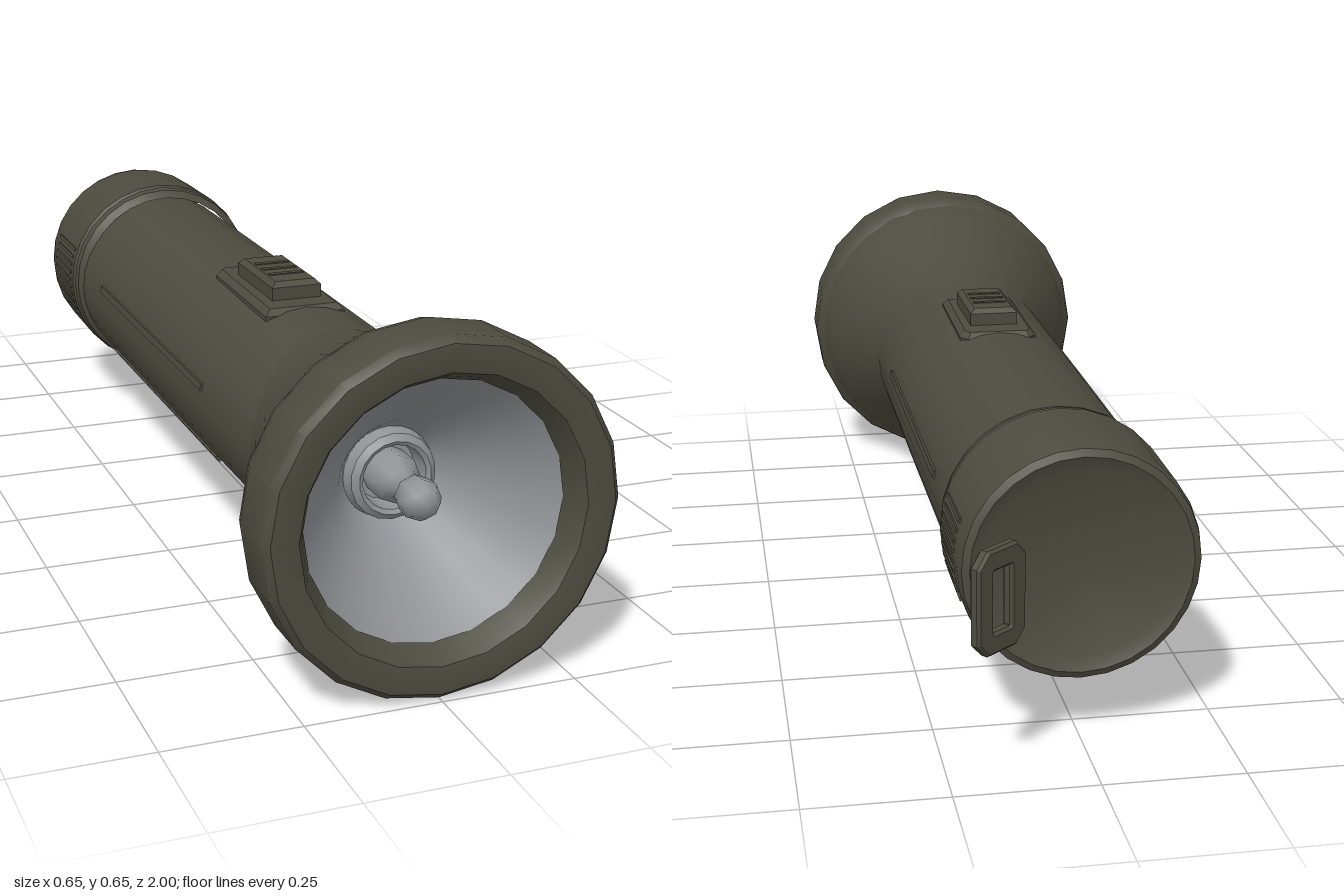
import * as THREE from 'three';
import { toCreasedNormals } from 'three/addons/utils/BufferGeometryUtils.js';

const AXIS_Y = 0.32;

export function createModel() {
  const model = new THREE.Group();
  model.name = 'flashlight';
  const olive = new THREE.MeshStandardMaterial({ color: 0x4c4b3f });
  olive.name = 'olive plastic';
  const silver = new THREE.MeshStandardMaterial({ color: 0x8f9296 });
  silver.name = 'silver reflector';

  const add = (name, geometry, material, parent = model) => {
    const mesh = new THREE.Mesh(geometry, material);
    mesh.name = name;
    parent.add(mesh);
    return mesh;
  };
  // Turned part along z; profile points are [radius, z], running back to front outside
  const turned = (name, profile, sides, material, y = AXIS_Y, crease = 0.6) => {
    const g = new THREE.LatheGeometry(profile.map(([r, z]) => new THREE.Vector2(r, z)), sides);
    g.rotateX(Math.PI / 2);
    const mesh = add(name, toCreasedNormals(g, crease), material);
    mesh.position.y = y;
    return mesh;
  };
  // Plate outlined in x and z, extruded upwards with a sloped edge
  const slab = (name, outline, y, height, bevel) => {
    const shape = new THREE.Shape(outline.map(([x, z]) => new THREE.Vector2(x, -z)));
    const g = new THREE.ExtrudeGeometry(shape, {
      depth: height - bevel, bevelThickness: bevel, bevelSize: bevel, bevelOffset: -bevel, bevelSegments: 1,
    });
    g.rotateX(-Math.PI / 2);
    add(name, g, olive).position.y = y;
  };

  // Barrel, slightly flattened
  const barrel = turned('barrel', [[0.2, -0.62], [0.201, 0], [0.2, 0.56], [0.198, 0.62]], 32, olive, 0.316);
  barrel.scale.y = 0.955;

  // Tail cap with a shallow dished end
  turned('tailCap', [
    [0, -0.815], [0.17, -0.82], [0.195, -0.832], [0.208, -0.825], [0.213, -0.8],
    [0.215, -0.612], [0.209, -0.605], [0.213, -0.598], [0.21, -0.58], [0.195, -0.565],
  ], 28, olive);

  // Flared head
  turned('head', [
    [0.188, 0.5], [0.197, 0.58], [0.213, 0.645], [0.25, 0.74], [0.285, 0.815], [0.306, 0.86], [0.306, 0.88],
  ], 28, olive);

  // Bezel, wrapping round the front to the lens opening
  turned('bezel', [
    [0.295, 0.85], [0.316, 0.866], [0.323, 0.89], [0.322, 0.985], [0.31, 0.998],
    [0.285, 1], [0.26, 0.995], [0.25, 0.98], [0.236, 0.95],
  ], 20, olive, AXIS_Y, 0.75);

  // Reflector bowl, collar and bulb
  turned('reflector', [
    [0.24, 0.952], [0.2, 0.905], [0.15, 0.84], [0.11, 0.79], [0.085, 0.75],
  ], 24, silver);
  turned('collar', [
    [0.086, 0.745], [0.08, 0.775], [0.068, 0.785], [0.06, 0.78], [0.056, 0.735], [0, 0.73],
  ], 18, silver);
  turned('bulb', [
    [0.045, 0.73], [0.045, 0.79], [0.028, 0.815], [0.024, 0.84], [0.036, 0.86],
    [0.038, 0.89], [0.026, 0.912], [0, 0.92],
  ], 8, silver, AXIS_Y, 1);

  // Switch base and sliding button
  slab('switchBase', [
    [-0.065, 0.03], [0.065, 0.03], [0.08, 0.05], [0.075, 0.36], [-0.085, 0.36], [-0.08, 0.05],
  ], 0.47, 0.04, 0.012);
  slab('switchButton', [[-0.05, 0.1], [0.05, 0.1], [0.05, 0.3], [-0.05, 0.3]], 0.5, 0.045, 0.01);
  for (let i = 0; i < 3; i++) {
    add('buttonRidge', new THREE.BoxGeometry(0.07, 0.006, 0.012), olive).position.set(0, 0.544, 0.16 + i * 0.04);
  }

  // Long ribs on the barrel and grip ridges on the tail cap
  for (const side of [-1, 1]) {
    for (const angle of [0.2, -0.62]) {
      const rib = add('barrelRib', new THREE.BoxGeometry(0.014, 0.014, 0.72), olive);
      rib.position.set(side * 0.198 * Math.cos(angle), 0.316 + 0.189 * Math.sin(angle), -0.05);
      rib.rotation.z = side * angle;
    }
    for (let i = -4; i <= 4; i++) {
      const a = i * 0.085;
      const ridge = add('gripRidge', new THREE.BoxGeometry(0.008, 0.007, 0.14), olive);
      ridge.position.set(side * 0.212 * Math.cos(a), AXIS_Y + 0.212 * Math.sin(a), -0.7);
      ridge.rotation.z = side * a;
    }
  }

  // Hanging loop behind the tail: chamfered frame with a slot
  const chamfered = (Type, w, h, c) => new Type([
    [w - c, -h], [w, -h + c], [w, h - c], [w - c, h], [-w + c, h], [-w, h - c], [-w, -h + c], [-w + c, -h],
  ].map(([x, y]) => new THREE.Vector2(x, y)));
  const frame = chamfered(THREE.Shape, 0.055, 0.086, 0.022);
  frame.holes.push(chamfered(THREE.Path, 0.026, 0.058, 0.004));
  const loopGeometry = new THREE.ExtrudeGeometry(frame, {
    depth: 0.012, bevelThickness: 0.005, bevelSize: 0.005, bevelSegments: 1,
  });
  loopGeometry.translate(0, 0, -0.006);
  const loop = add('hangingLoop', loopGeometry, olive);
  loop.position.set(0.167, 0.325, -0.957);
  loop.rotation.y = 0.7;

  return model;
}
